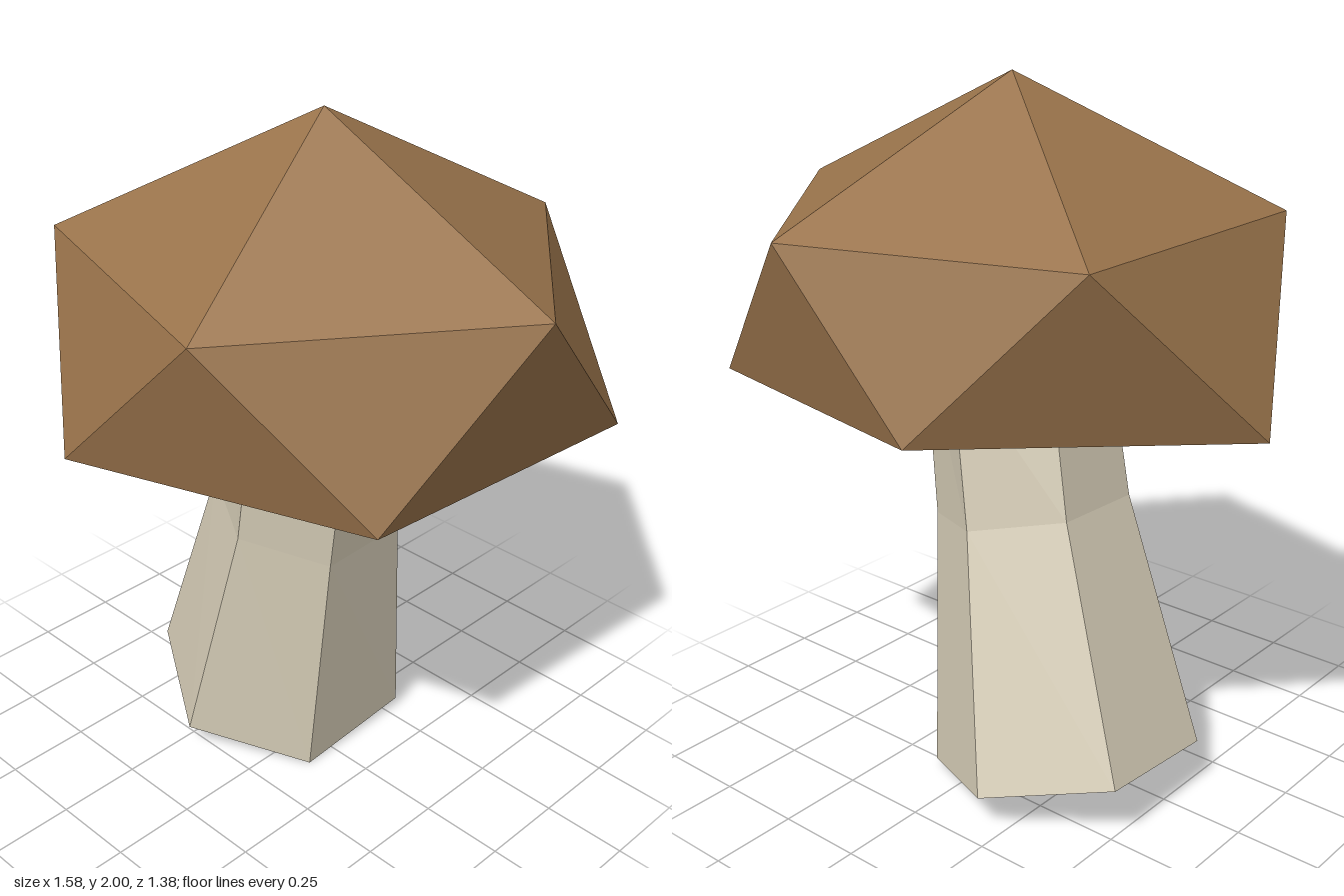
import * as THREE from 'three';

// Faceted geometry from a list of triangles of [x, y, z] corners
function facets(triangles) {
  const geometry = new THREE.BufferGeometry();
  geometry.setAttribute('position', new THREE.Float32BufferAttribute(triangles.flat(2), 3));
  geometry.computeVertexNormals();
  return geometry;
}

export function createModel() {
  const group = new THREE.Group();
  group.name = 'mushroom';

  const capBrown = new THREE.MeshStandardMaterial({ color: 0x99734b, flatShading: true });
  capBrown.name = 'cap brown';
  const stemCream = new THREE.MeshStandardMaterial({ color: 0xd6cdb7, flatShading: true, side: THREE.DoubleSide });
  stemCream.name = 'stem cream';

  // Cap: apex, shoulder ring and staggered rim ring, closed flat underneath
  const apex = [0.04, 2, -0.02];
  const shoulder = [[0.79, 1.645, -0.02], [0.26, 1.63, 0.65], [-0.55, 1.64, 0.405], [-0.56, 1.645, -0.46], [0.26, 1.63, -0.68]];
  const rim = [[0.64, 1.18, 0.41], [-0.19, 1.18, 0.69], [-0.79, 1.165, -0.02], [-0.18, 1.195, -0.69], [0.69, 1.165, -0.49]];
  const capFaces = [];
  for (let i = 0; i < 5; i++) {
    const j = (i + 1) % 5;
    capFaces.push([apex, shoulder[j], shoulder[i]]);
    capFaces.push([shoulder[i], shoulder[j], rim[i]]);
    capFaces.push([shoulder[j], rim[j], rim[i]]);
    if (i > 0 && i < 4) capFaces.push([rim[0], rim[i], rim[j]]);
  }
  const cap = new THREE.Mesh(facets(capFaces), capBrown);
  cap.name = 'cap';
  group.add(cap);

  // Stem: three leaning six-sided rings, open at the foot
  const rings = [
    [[0.11, 0, 0.1], [-0.21, 0.07, 0.3], [-0.54, 0.16, 0.1], [-0.54, 0.19, -0.29], [-0.21, 0.12, -0.47], [0.11, 0.03, -0.29]],
    [[0.19, 0.75, 0.1], [-0.04, 0.8, 0.235], [-0.28, 0.85, 0.1], [-0.28, 0.86, -0.18], [-0.04, 0.81, -0.31], [0.19, 0.76, -0.18]],
    [[0.265, 1.28, 0.11], [0.04, 1.29, 0.24], [-0.185, 1.3, 0.11], [-0.185, 1.3, -0.14], [0.04, 1.29, -0.275], [0.265, 1.28, -0.14]],
  ];
  const stemFaces = [];
  for (let r = 0; r < 2; r++) {
    const low = rings[r], high = rings[r + 1];
    for (let i = 0; i < 6; i++) {
      const j = (i + 1) % 6;
      stemFaces.push([low[i], high[i], high[j]], [low[i], high[j], low[j]]);
    }
  }
  const stem = new THREE.Mesh(facets(stemFaces), stemCream);
  stem.name = 'stem';
  group.add(stem);

  return group;
}
